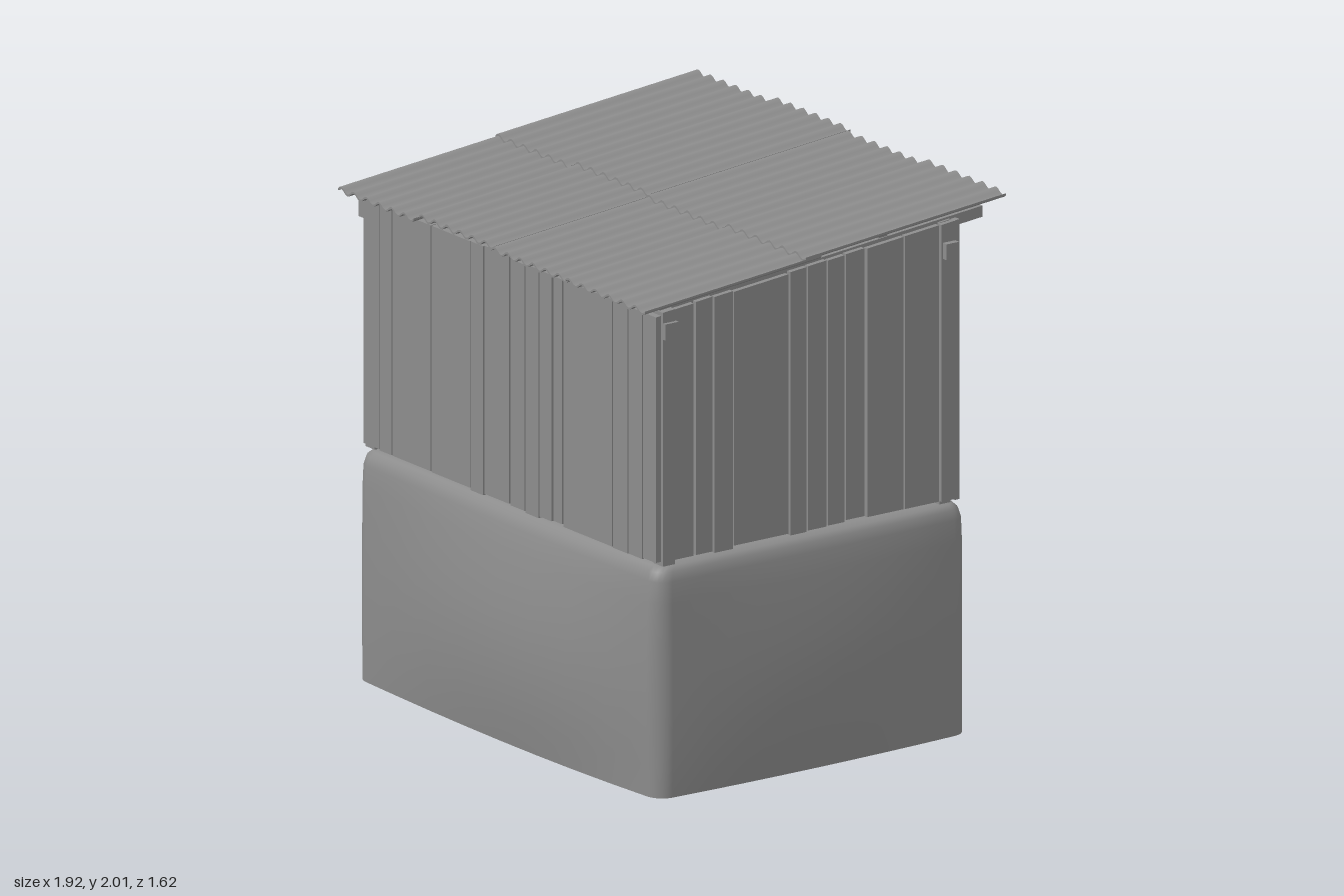
import * as THREE from 'three';

const grey = new THREE.MeshStandardMaterial({ color: 0x8c8c8c, side: THREE.DoubleSide });
grey.name = 'weathered grey';

// Height of the sloping roof at depth z (high at the back)
const roofY = (z) => 1.918 - 0.0875 * z;

let seed = 7;
const rand = () => (seed = (seed * 16807) % 2147483647) / 2147483647;
const jitter = (a) => (rand() - 0.5) * 2 * a;

function add(parent, name, geometry) {
  const mesh = new THREE.Mesh(geometry, grey);
  mesh.name = name;
  parent.add(mesh);
  return mesh;
}

function moveVertices(geometry, rule) {
  const p = geometry.attributes.position;
  const v = new THREE.Vector3();
  for (let i = 0; i < p.count; i++) {
    rule(v.fromBufferAttribute(p, i));
    p.setXYZ(i, v.x, v.y, v.z);
  }
  geometry.computeVertexNormals();
  return geometry;
}

// Axis-aligned box given by its limits
function block(parent, name, x0, x1, y0, y1, z0, z1) {
  const g = new THREE.BoxGeometry(x1 - x0, y1 - y0, z1 - z0);
  g.translate((x0 + x1) / 2, (y0 + y1) / 2, (z0 + z1) / 2);
  return add(parent, name, g);
}

// Board whose top follows the roof slope
function plank(parent, name, x0, x1, z0, z1, y0 = 0.88 + rand() * 0.015) {
  const mesh = block(parent, name, x0, x1, y0, 1.8, z0, z1);
  const drop = 0.028 + rand() * 0.012;
  moveVertices(mesh.geometry, (v) => { if (v.y > 1.75) v.y = roofY(v.z) - drop; });
}

// Bulging hollow base: rounded rectangles stacked in loops, open below
function baseGeometry() {
  const levels = [[0, 0], [0.12, 0], [0.25, 0], [0.38, 0], [0.5, 0], [0.62, 0], [0.73, 0], [0.81, 0.002],
    [0.845, 0.01], [0.862, 0.025], [0.87, 0.05], [0.87, 0.09]];
  const sides = 4, arc = 5, edge = 8, positions = [], index = [];
  const hx = 0.918, front = 0.735, back = -0.645;
  const ring = ([y, inset]) => {
    const r = 0.06, pts = [];
    const x1 = hx - inset, z1 = front - inset, z0 = back + inset;
    const centres = [[x1 - r, z1 - r], [-x1 + r, z1 - r], [-x1 + r, z0 + r], [x1 - r, z0 + r]];
    for (let s = 0; s < sides; s++) {
      for (let k = 0; k <= arc; k++) {
        const a = (s + k / arc) * Math.PI / 2;
        pts.push([centres[s][0] + r * Math.cos(a), centres[s][1] + r * Math.sin(a)]);
      }
      const a = pts[pts.length - 1], c = centres[(s + 1) % 4], ang = (s + 1) * Math.PI / 2;
      const b = [c[0] + r * Math.cos(ang), c[1] + r * Math.sin(ang)];
      for (let k = 1; k < edge; k++) {
        const t = k / edge;
        pts.push([a[0] + (b[0] - a[0]) * t, a[1] + (b[1] - a[1]) * t]);
      }
    }
    // Swell the middle of each wall
    const swell = Math.sin(Math.PI * (0.15 + 0.85 * y / 0.87));
    return pts.map(([x, z]) => {
      const u = x / hx, w = (z - 0.045) / 0.69;
      const dx = 0.04 * swell * u * Math.max(0, 1 - w * w);
      const dz = swell * Math.max(0, 1 - u * u) * (w > 0 ? 0.072 * (1 + 0.2 * u) : 0.03) * w;
      return [x + dx, y, z + dz];
    });
  };
  levels.forEach((l) => ring(l).forEach((p) => positions.push(...p)));
  const n = sides * (arc + edge);
  for (let j = 0; j < levels.length - 1; j++) {
    for (let i = 0; i < n; i++) {
      const a = j * n + i, b = j * n + (i + 1) % n;
      index.push(a, a + n, b, b, a + n, b + n);
    }
  }
  // Floor
  const last = (levels.length - 1) * n, centre = levels.length * n;
  positions.push(0, 0.87, 0.04);
  for (let i = 0; i < n; i++) index.push(last + i, centre, last + (i + 1) % n);
  const g = new THREE.BufferGeometry();
  g.setAttribute('position', new THREE.Float32BufferAttribute(positions, 3));
  g.setIndex(index);
  g.computeVertexNormals();
  return g;
}

// Corrugated sheet lying on the roof slope
function sheet(parent, x0, x1, z0, z1, lift) {
  const waves = Math.round((x1 - x0) / 0.0765);
  const g = new THREE.BoxGeometry(x1 - x0, 0.008, z1 - z0, waves * 8, 1, 1);
  g.translate((x0 + x1) / 2, 0, (z0 + z1) / 2);
  moveVertices(g, (v) => {
    v.y += roofY(v.z) + lift + 0.01 * Math.sin((v.x - x0) / (x1 - x0) * waves * Math.PI * 2);
  });
  add(parent, 'roofSheet', g);
}

export function createModel() {
  const model = new THREE.Group();
  const part = (name) => {
    const g = new THREE.Group();
    g.name = name;
    model.add(g);
    return g;
  };
  add(model, 'base', baseGeometry());

  // Front wall
  const frontWall = part('frontWall');
  const fx = [-0.88, -0.78, -0.7, -0.46, -0.22, -0.135, 0.02, 0.115, 0.2, 0.28, 0.34, 0.64, 0.735, 0.825, 0.91];
  for (let i = 0; i < fx.length - 1; i++) {
    const d = jitter(0.005);
    plank(frontWall, 'frontPlank', fx[i] + 0.004, fx[i + 1] - 0.004, 0.715 + d, 0.738 + d);
  }

  // Side walls
  const sz = [0.65, 0.56, 0.48, 0.39, 0.14, 0.06, -0.03, -0.11, -0.2, -0.37, -0.53, -0.6];
  for (const s of [1, -1]) {
    const wall = part(s > 0 ? 'leftWall' : 'rightWall');
    for (let i = 0; i < sz.length - 1; i++) {
      const x = s * (0.892 + jitter(0.005));
      plank(wall, 'sidePlank', x - 0.01, x + 0.01, sz[i + 1] + 0.004, sz[i] - 0.004);
    }
    // Corner posts and rail
    plank(wall, 'frontPost', s * 0.875 - 0.028, s * 0.875 + 0.028, 0.65, 0.705, 0.87);
    plank(wall, 'backPost', s * 0.86 - 0.025, s * 0.86 + 0.025, -0.59, -0.54, 0.87);
    block(wall, 'sideRail', s * 0.865 - 0.015, s * 0.865 + 0.015, 1.3, 1.34, -0.54, 0.65);
  }

  // Back wall around a doorway and a window
  const backWall = part('backWall');
  const z0 = -0.62, z1 = -0.598;
  for (const [a, b] of [[0.735, 0.9], [0.57, 0.73], [-0.19, 0.08], [-0.785, -0.66], [-0.9, -0.79]]) {
    plank(backWall, 'backPlank', a, b, z0, z1, 0.88);
  }
  plank(backWall, 'doorHeader', 0.08, 0.57, z0, z1, 1.74 + 0.09 - 0.09 + 0.055);
  plank(backWall, 'windowHeader', -0.66, -0.19, z0, z1, 1.78);
  for (const [a, b] of [[-0.31, -0.19], [-0.43, -0.315], [-0.54, -0.435], [-0.66, -0.545]]) {
    block(backWall, 'windowPlank', a, b, 0.88, 1.38, z0, z1);
  }

  // Beams across the front and back, rafters following the slope
  const frame = part('roofFrame');
  block(frame, 'frontBeam', -0.945, 0.918, 1.725, 1.785, 0.645, 0.705);
  block(frame, 'backBeam', -0.935, 0.93, 1.8, 1.86, -0.595, -0.54);
  for (const x of [-0.86, -0.42, 0.03, 0.46, 0.85]) {
    const g = new THREE.BoxGeometry(0.05, 0.042, 1.44);
    g.translate(x, 0, -0.02);
    moveVertices(g, (v) => { v.y += roofY(v.z) - 0.048; });
    add(frame, 'rafter', g);
  }
  for (const z of [-0.3, 0.05, 0.4]) {
    block(frame, 'purlin', -0.87, 0.87, roofY(z) - 0.05, roofY(z) - 0.018, z - 0.02, z + 0.02);
  }

  // Roof: four columns of two overlapping sheets
  const roof = part('roof');
  const rx = [-0.945, -0.487, -0.03, 0.435, 0.92];
  const backEdge = [-0.795, -0.815, -0.795, -0.812];
  const frontEdge = [0.797, 0.772, 0.785, 0.797];
  const seam = [0.095, 0.075, 0.095, 0.08];
  for (let i = 0; i < 4; i++) {
    const lift = i % 2 ? 0.004 : 0;
    sheet(roof, rx[i], rx[i + 1], seam[i] - 0.07, frontEdge[i], lift - 0.005);
    sheet(roof, rx[i], rx[i + 1], backEdge[i], seam[i], lift + 0.003);
  }
  return model;
}
